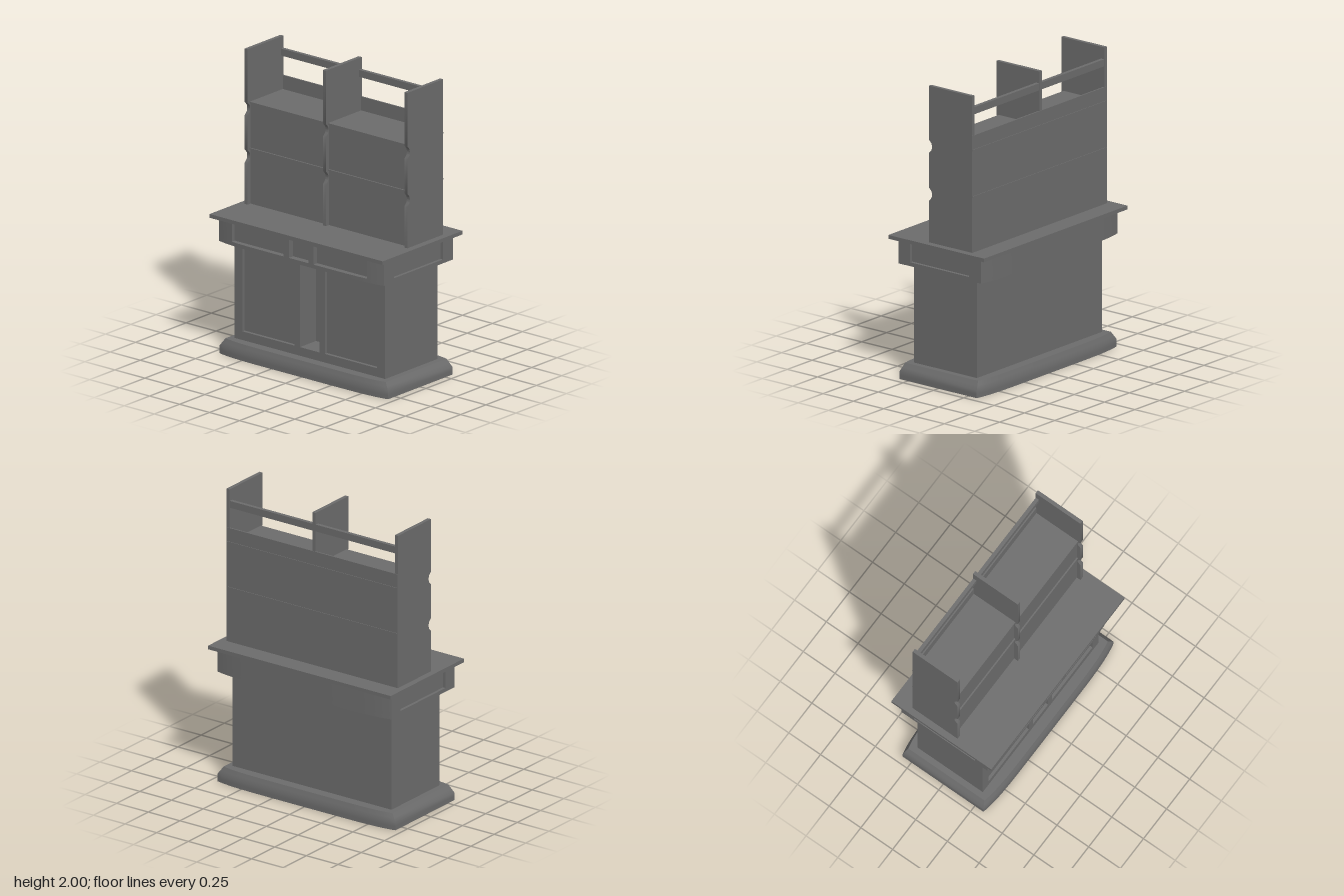
import * as THREE from 'three';
import { toCreasedNormals } from 'three/addons/utils/BufferGeometryUtils.js';

const material = new THREE.MeshStandardMaterial({ color: 0x6b6b6b });

function addMesh(parent, name, geometry) {
  const mesh = new THREE.Mesh(geometry, material);
  mesh.name = name;
  parent.add(mesh);
  return mesh;
}

// Box given by its limits on each axis
function addBox(parent, name, x0, x1, y0, y1, z0, z1) {
  const mesh = addMesh(parent, name, new THREE.BoxGeometry(x1 - x0, y1 - y0, z1 - z0));
  mesh.position.set((x0 + x1) / 2, (y0 + y1) / 2, (z0 + z1) / 2);
}

// Floor plan whose front and back curve in towards the ends; recesses are cut into
// the front [x0, x1, zBack] and optionally into both ends { half, depth }.
function plan({ hx, hz, bow = 0 }, recesses = [], side = null) {
  const edge = x => hz + bow * (1 - (x / hx) ** 6);
  const steps = bow ? 40 : 1;
  const pts = [];
  const run = (a, b, sign) => {
    const n = Math.max(1, Math.ceil(steps * Math.abs(b - a) / (2 * hx)));
    for (let i = 0; i <= n; i++) {
      const x = a + (b - a) * i / n;
      pts.push([x, sign * edge(x)]);
    }
  };
  const end = sign => {
    if (!side) return;
    const { half, depth } = side, x = sign * hx, xi = sign * (hx - depth);
    pts.push([x, -sign * half], [xi, -sign * half], [xi, sign * half], [x, sign * half]);
  };
  run(-hx, hx, -1);
  end(1);
  let x = hx;
  for (const [x0, x1, zBack] of [...recesses].reverse()) {
    run(x, x1, 1);
    pts.push([x1, zBack], [x0, zBack]);
    x = x0;
  }
  run(x, -hx, 1);
  end(-1);
  return new THREE.Shape(pts.map(p => new THREE.Vector2(...p)));
}

// Raise a floor plan between two heights
function raise(shape, y0, y1, steps = 1) {
  const g = new THREE.ExtrudeGeometry(shape, { depth: y1 - y0, steps, bevelEnabled: false });
  return g.rotateX(Math.PI / 2).translate(0, y1, 0);
}

// Upright board with two scalloped cut-outs in its front edge
function uprightShape() {
  const s = new THREE.Shape();
  const front = 0.097, deep = 0.07;
  s.moveTo(-0.257, 0.95);
  s.lineTo(front, 0.95);
  for (const y of [1.275, 1.595]) {
    s.lineTo(front, y - 0.045);
    s.lineTo(deep + 0.008, y - 0.024);
    s.quadraticCurveTo(deep - 0.004, y, deep + 0.008, y + 0.024);
    s.lineTo(front, y + 0.045);
  }
  s.lineTo(front, 2);
  s.lineTo(-0.257, 2);
  s.closePath();
  return s;
}

export function createModel() {
  const model = new THREE.Group();
  model.name = 'dresser';

  // Plinth: curved plan, upper half sloping inwards
  const plinth = raise(plan({ hx: 0.703, hz: 0.318, bow: 0.026 }), 0, 0.104, 4);
  const p = plinth.attributes.position;
  for (let i = 0; i < p.count; i++) {
    const t = Math.max(0, (p.getY(i) - 0.052) / 0.052);
    p.setX(i, p.getX(i) * (1 - 0.05 * t));
    p.setZ(i, p.getZ(i) * (1 - 0.055 * t));
  }
  addMesh(model, 'plinth', toCreasedNormals(plinth, 0.75));

  // Lower cabinet with two recessed doors and an open niche between them
  const cabinet = new THREE.Group();
  cabinet.name = 'cabinet';
  model.add(cabinet);
  const body = { hx: 0.628, hz: 0.258 };
  const doors = [[-0.564, -0.127], [0.124, 0.56]];
  const openings = [[...doors[0], 0.235], [-0.083, 0.08, 0.1], [...doors[1], 0.235]];
  addMesh(cabinet, 'cabinetBase', raise(plan(body), 0.1, 0.162));
  addMesh(cabinet, 'cabinetBody', raise(plan(body, openings), 0.162, 0.764));
  addMesh(cabinet, 'cabinetTop', raise(plan(body), 0.764, 0.77));
  for (const [x0, x1] of doors)
    addBox(cabinet, 'doorPanel', x0 + 0.006, x1 - 0.006, 0.168, 0.758, 0.23, 0.24);

  // Curved frieze with recessed drawer fronts and end panels
  const frieze = new THREE.Group();
  frieze.name = 'frieze';
  model.add(frieze);
  const band = { hx: 0.688, hz: 0.34, bow: 0.028 };
  const drawers = [[-0.566, -0.127, 0.33], [-0.083, 0.08, 0.325], [0.122, 0.56, 0.33]];
  const layers = [
    ['friezeBottom', 0.766, 0.792, false],
    ['friezeDrawers', 0.792, 0.914, true],
    ['friezeTop', 0.914, 0.93, false],
  ];
  for (const [name, y0, y1, cut] of layers) {
    const shape = cut ? plan(band, drawers, { half: 0.242, depth: 0.02 }) : plan(band);
    addMesh(frieze, name, toCreasedNormals(raise(shape, y0, y1), 0.3));
  }

  // Worktop
  addBox(model, 'worktop', -0.722, 0.722, 0.928, 0.953, -0.394, 0.394);

  // Upper shelving unit
  const hutch = new THREE.Group();
  hutch.name = 'shelfUnit';
  model.add(hutch);
  const board = 0.025;
  for (const [name, x] of [['rightUpright', -0.667], ['middleUpright', -0.014], ['leftUpright', 0.664]]) {
    const g = new THREE.ExtrudeGeometry(uprightShape(), { depth: board, bevelEnabled: false, curveSegments: 8 });
    g.rotateY(-Math.PI / 2).translate(x + board / 2, 0, 0);
    addMesh(hutch, name, toCreasedNormals(g, 0.8));
  }
  addBox(hutch, 'backPanel', -0.675, 0.672, 0.95, 1.735, -0.26, -0.25);
  addBox(hutch, 'frontPanel', -0.66, 0.655, 0.95, 1.637, 0.058, 0.068);
  for (const y of [1.325, 1.637])
    addBox(hutch, 'shelf', -0.675, 0.672, y - 0.005, y + 0.005, -0.264, 0.078);
  addBox(hutch, 'topRail', -0.66, 0.655, 1.873, 1.92, -0.255, -0.23);
  return model;
}
